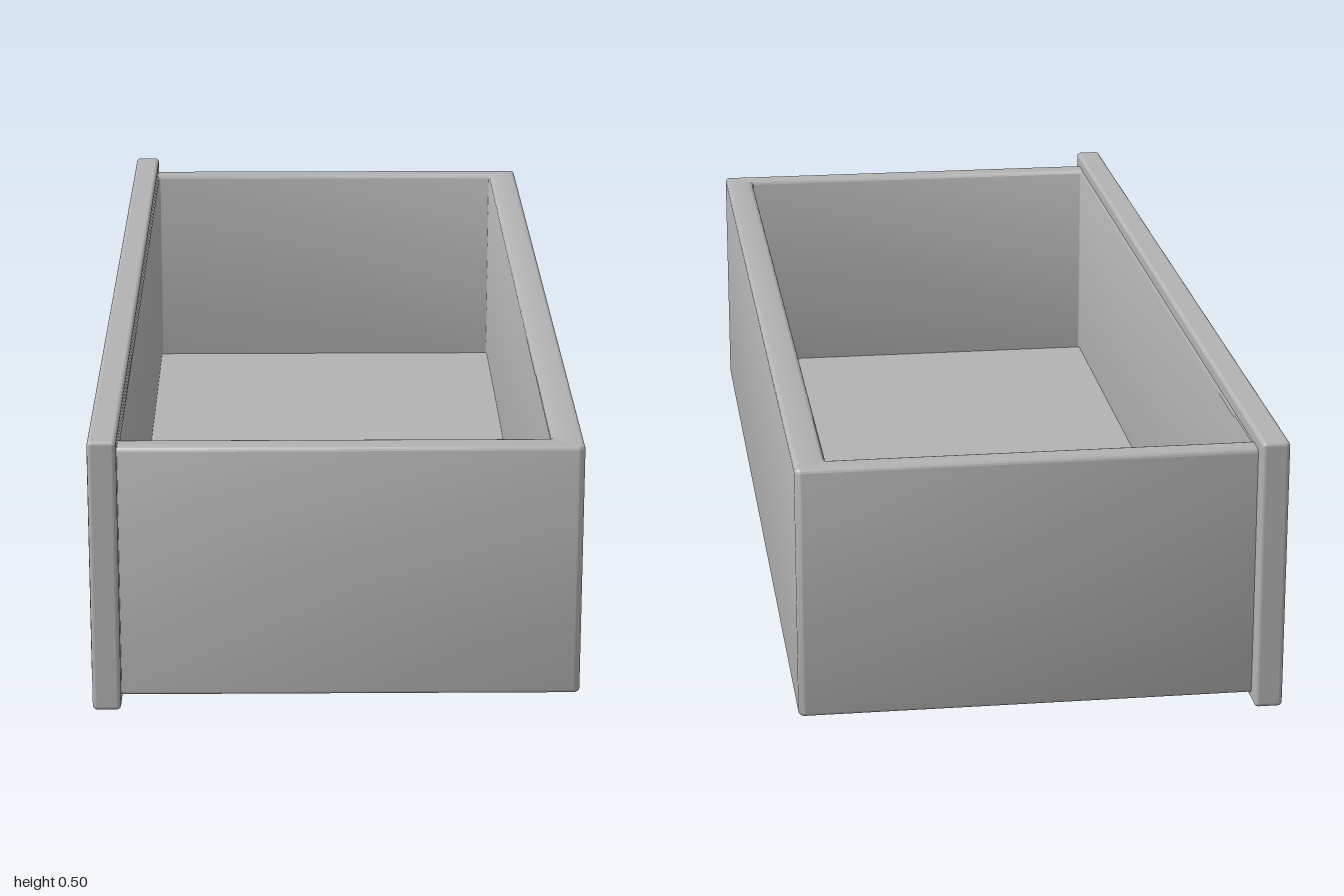
import * as THREE from 'three';
import { toCreasedNormals } from 'three/addons/utils/BufferGeometryUtils.js';
import { RoundedBoxGeometry } from 'three/addons/geometries/RoundedBoxGeometry.js';

// Rounded rectangle between two corners, as a Shape or a Path
function roundedRect(path, x0, x1, z0, z1, r) {
  path.moveTo(x0 + r, z0);
  path.lineTo(x1 - r, z0);
  path.absarc(x1 - r, z0 + r, r, -Math.PI / 2, 0);
  path.lineTo(x1, z1 - r);
  path.absarc(x1 - r, z1 - r, r, 0, Math.PI / 2);
  path.lineTo(x0 + r, z1);
  path.absarc(x0 + r, z1 - r, r, Math.PI / 2, Math.PI);
  path.lineTo(x0, z0 + r);
  path.absarc(x0 + r, z0 + r, r, Math.PI, Math.PI * 1.5);
  return path;
}

export function createModel() {
  const model = new THREE.Group();
  model.name = 'drawer';
  const grey = new THREE.MeshStandardMaterial({ color: 0xb3b3b3 });
  grey.name = 'plain grey';

  const add = (name, geometry) => {
    const mesh = new THREE.Mesh(geometry, grey);
    mesh.name = name;
    model.add(mesh);
    return mesh;
  };

  // Box given by its limits, with softly rounded edges
  const block = (name, [x0, x1], [y0, y1], [z0, z1], radius) => {
    const geometry = new RoundedBoxGeometry(x1 - x0, y1 - y0, z1 - z0, 3, radius);
    add(name, geometry).position.set((x0 + x1) / 2, (y0 + y1) / 2, (z0 + z1) / 2);
  };

  // Walls: a rectangular ring with rounded rims, extruded upward
  const bottom = 0.015, top = 0.477, bevel = 0.007;
  const ring = roundedRect(new THREE.Shape(), -0.405, 0.43, -0.967, 0.967, 0.012);
  ring.holes.push(roundedRect(new THREE.Path(), -0.377, 0.372, -0.92, 0.92, 0.003));
  const walls = new THREE.ExtrudeGeometry(ring, {
    depth: top - bottom - 2 * bevel,
    bevelThickness: bevel, bevelSize: bevel, bevelOffset: -bevel,
    bevelSegments: 3, curveSegments: 4,
  });
  walls.rotateX(-Math.PI / 2);
  walls.translate(0, bottom + bevel, 0);
  add('walls', toCreasedNormals(walls, 0.7));

  // Floor, closing the ring from below
  const floor = new THREE.BoxGeometry(0.80, 0.04, 1.89);
  floor.translate(-0.002, bottom + 0.02, 0);
  add('floor', floor);

  // Front board with a slightly raised field on its outer face
  block('frontBoard', [-0.43, -0.38], [0, 0.5], [-1, 1], 0.008);
  block('raisedField', [-0.435, -0.415], [0.04, 0.46], [-0.93, 0.93], 0.008);

  return model;
}
